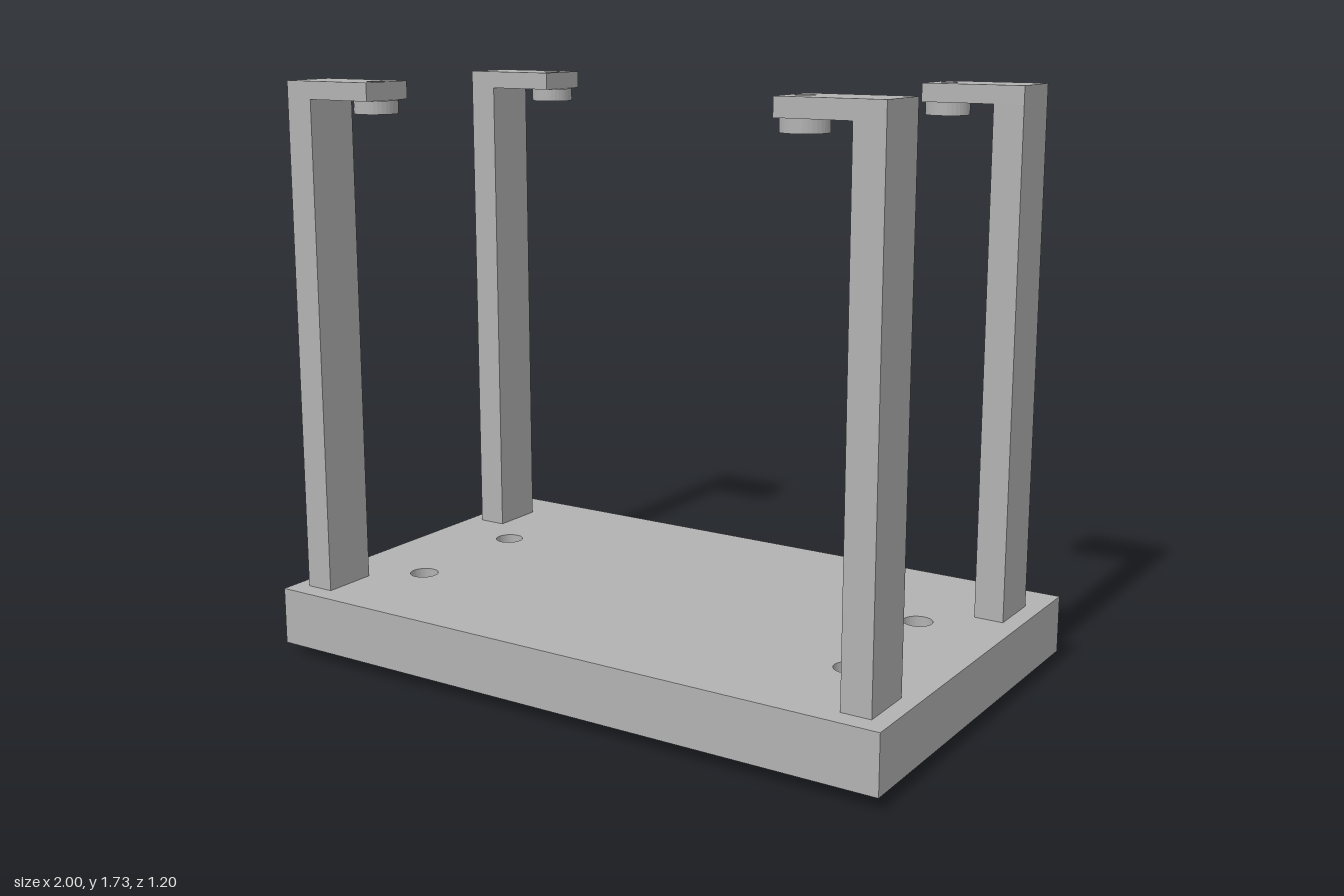
import * as THREE from 'three';

const steel = new THREE.MeshStandardMaterial({ color: 0xb2b2b2 });
steel.name = 'plain grey';

function circle(x, z, r) {
  return new THREE.Path().absarc(x, -z, r, 0, Math.PI * 2, true);
}

// Horizontal slab from a plan outline with holes, lying between y0 and y1
function slab(name, outline, holes, y0, y1) {
  outline.holes.push(...holes);
  const geo = new THREE.ExtrudeGeometry(outline, { depth: y1 - y0, bevelEnabled: false, curveSegments: 16 });
  geo.rotateX(-Math.PI / 2).translate(0, y0, 0);
  const mesh = new THREE.Mesh(geo, steel);
  mesh.name = name;
  return mesh;
}

function rect(x0, x1, z0, z1) {
  return new THREE.Shape([
    new THREE.Vector2(x0, -z1), new THREE.Vector2(x1, -z1),
    new THREE.Vector2(x1, -z0), new THREE.Vector2(x0, -z0),
  ]);
}

function box(name, x0, x1, y0, y1, z0, z1) {
  const mesh = new THREE.Mesh(new THREE.BoxGeometry(x1 - x0, y1 - y0, z1 - z0), steel);
  mesh.position.set((x0 + x1) / 2, (y0 + y1) / 2, (z0 + z1) / 2);
  mesh.name = name;
  return mesh;
}

// Upright post with an inward arm and a socket screw hanging under the arm
function bracket(side, z) {
  const group = new THREE.Group();
  group.name = 'bracket';
  const cx = -0.004, half = 0.085;
  const span = (a, b) => [cx + side * a, cx + side * b].sort((p, q) => p - q);
  const [p0, p1] = span(0.863, 0.951);
  const [a0, a1] = span(0.649, 0.951);
  const sx = cx + side * 0.691;

  group.add(box('post', p0, p1, 0.208, 1.676, z - half, z + half));
  group.add(slab('arm', rect(a0, a1, z - half, z + half), [circle(sx, z, 0.026)], 1.676, 1.728));

  // Screw head with a hexagonal socket
  const hex = new THREE.Path();
  for (let i = 0; i < 6; i++) {
    const a = -i * Math.PI / 3;
    const x = sx + 0.033 * Math.cos(a), y = -z + 0.033 * Math.sin(a);
    if (i) hex.lineTo(x, y); else hex.moveTo(x, y);
  }
  hex.closePath();
  const round = new THREE.Shape().absarc(sx, -z, 0.063, 0, Math.PI * 2, false);
  group.add(slab('screwHead', round, [hex], 1.638, 1.676));

  // Shank closes the socket and sits below the top of the arm hole
  const shank = new THREE.Mesh(new THREE.CylinderGeometry(0.034, 0.034, 0.03, 24), steel);
  shank.position.set(sx, 1.684, z);
  shank.name = 'screwShank';
  group.add(shank);
  return group;
}

export function createModel() {
  const model = new THREE.Group();
  model.name = 'standFrame';

  // Base plate in two layers, giving four counterbored holes
  const spots = [];
  for (const x of [-0.743, 0.737]) for (const z of [-0.174, 0.256]) spots.push([x, z]);
  const holes = (r) => spots.map(([x, z]) => circle(x, z, r));
  model.add(slab('basePlateLower', rect(-1, 1, -0.602, 0.602), holes(0.026), 0.037, 0.12));
  model.add(slab('basePlateUpper', rect(-1, 1, -0.602, 0.602), holes(0.043), 0.12, 0.209));

  // Four corner brackets
  for (const side of [-1, 1]) for (const z of [-0.379, 0.457]) model.add(bracket(side, z));

  // Two locating feet underneath
  for (const x of [-0.4, 0.376]) model.add(box('foot', x - 0.051, x + 0.051, 0, 0.04, -0.067, 0.067));

  return model;
}
